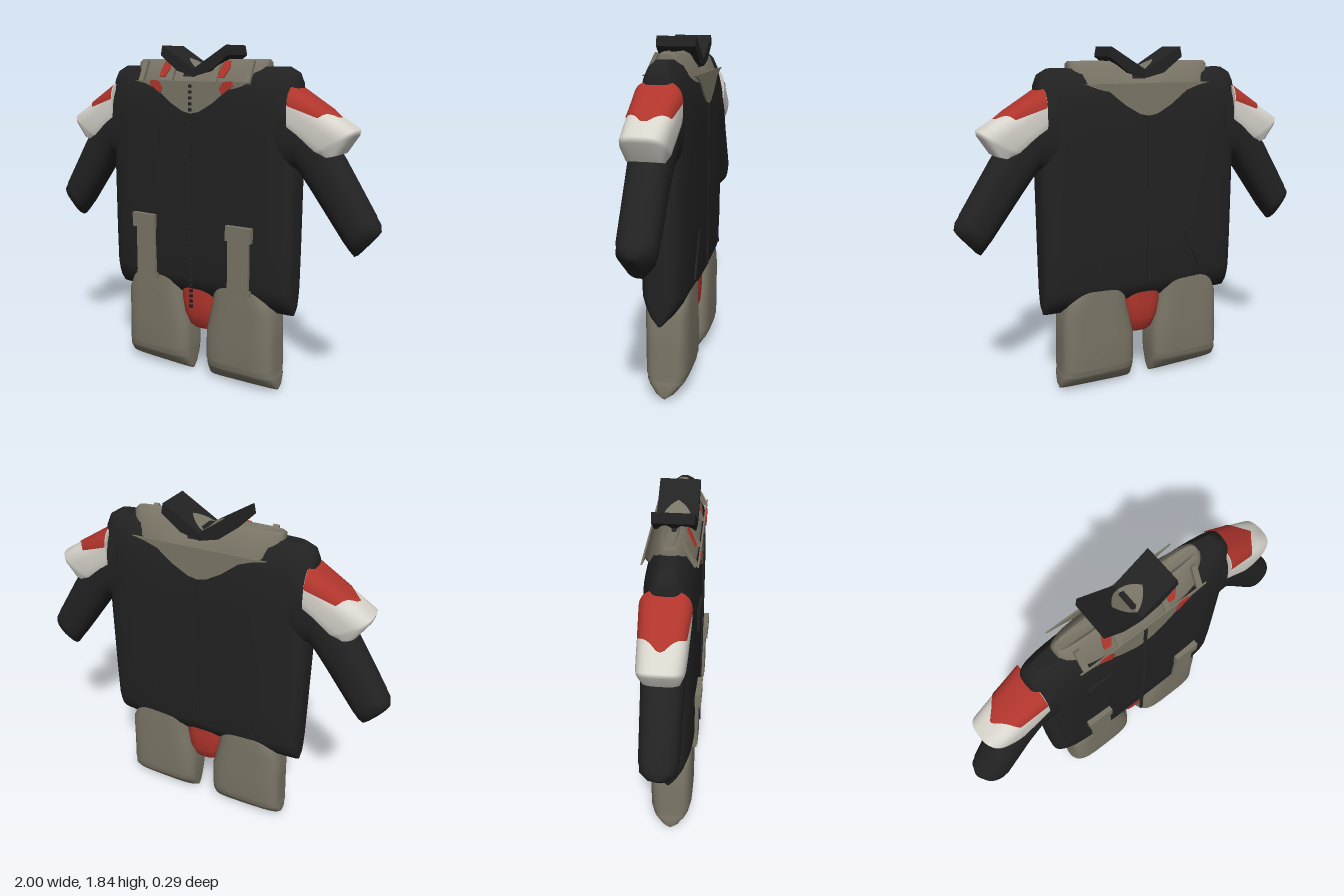
import * as THREE from 'three';
import { mergeGeometries } from 'three/addons/utils/BufferGeometryUtils.js';

const paint = (name, color) => {
  const m = new THREE.MeshStandardMaterial({ color });
  m.name = name;
  return m;
};
const ZC = -0.01; // depth centre of the garment

// Skin through sections [x1, y1, x2, y2, halfDepth]; p sets how square each section is.
// With arcs (half angles around the first point) only an open strip is made.
function loft(sections, p, arcs) {
  const n = 48, cols = n + 1, pos = [], idx = [];
  const sq = (v) => Math.sign(v) * Math.abs(v) ** (2 / p);
  const first = sections[0], last = sections[sections.length - 1];
  const mid = (s) => [(s[0] + s[2]) / 2, (s[1] + s[3]) / 2];
  const [ax, ay] = mid(first), [bx, by] = mid(last);
  const out = (by - ay) * (first[0] - first[2]) - (bx - ax) * (first[1] - first[3]) > 0;
  const tri = (a, b, c) => (out ? idx.push(a, b, c) : idx.push(a, c, b));
  sections.forEach((s, i) => {
    const [cx, cy] = mid(s), ux = (s[0] - s[2]) / 2, uy = (s[1] - s[3]) / 2;
    for (let j = 0; j < cols; j++) {
      const a = arcs ? arcs[i] * (2 * j / n - 1) : (j % n) * 2 * Math.PI / n;
      const c = sq(Math.cos(a));
      pos.push(cx + ux * c, cy + uy * c, ZC + s[4] * sq(Math.sin(a)));
    }
  });
  const wrap = (j) => (arcs ? j : j % n);
  for (let i = 0; i < sections.length - 1; i++)
    for (let j = 0; j < n; j++) {
      const a = i * cols + j, b = i * cols + wrap(j + 1);
      tri(a, a + cols, b);
      tri(b, a + cols, b + cols);
    }
  if (!arcs) {
    // end caps with their own vertices
    [0, sections.length - 1].forEach((i) => {
      const base = pos.length / 3, [cx, cy] = mid(sections[i]);
      pos.push(cx, cy, ZC);
      for (let j = 0; j < n; j++) pos.push(...pos.slice((i * cols + j) * 3, (i * cols + j) * 3 + 3));
      for (let j = 0; j < n; j++) {
        const a = base + 1 + j, b = base + 1 + (j + 1) % n;
        i ? tri(base, b, a) : tri(base, a, b);
      }
    });
  }
  const g = new THREE.BufferGeometry();
  g.setAttribute('position', new THREE.Float32BufferAttribute(pos, 3));
  g.setIndex(idx);
  g.computeVertexNormals();
  return g;
}

// Flat plate from a list of outline points
function plate(points, z, depth) {
  const shape = new THREE.Shape(points.map(([x, y]) => new THREE.Vector2(x, y)));
  return new THREE.ExtrudeGeometry(shape, { depth, bevelEnabled: false }).translate(0, 0, z);
}

export function createModel() {
  const model = new THREE.Group();
  model.name = 'outfit';
  const black = paint('black cloth', 0x222223);
  const olive = paint('olive cloth', 0x7a7566);
  const red = paint('red cloth', 0xb0352c);
  const white = paint('white armour', 0xd8d5cd);
  const add = (name, geo, mat, parent = model) => {
    const m = new THREE.Mesh(geo, mat);
    m.name = name;
    parent.add(m);
    return m;
  };
  const box = (name, mat, w, h, d, x, y, z, parent) => {
    const m = add(name, new THREE.BoxGeometry(w, h, d), mat, parent);
    m.position.set(x, y, z);
    return m;
  };
  const level = (rows) => rows.map(([y, hw, hd]) => [hw, y, -hw, y, hd]);

  // Jacket body, tapering to a keel at the hem and at the shoulders
  add('jacketBody', loft(level([
    [0.46, 0.565, 0.02], [0.5, 0.572, 0.07], [0.54, 0.572, 0.1], [0.6, 0.572, 0.123], [0.8, 0.572, 0.13],
    [1.4, 0.572, 0.13], [1.58, 0.572, 0.122], [1.66, 0.568, 0.1], [1.71, 0.55, 0.075], [1.74, 0.5, 0.045],
  ]), 4), black);

  // Yoke around the neck, dipping under the collar
  const yoke = loft(level([
    [1.6, 0.36, 0.112], [1.66, 0.4, 0.112], [1.76, 0.4, 0.062], [1.775, 0.39, 0.035],
  ]), 4);
  const yp = yoke.attributes.position;
  for (let i = 0; i < yp.count; i++)
    yp.setY(i, Math.min(yp.getY(i), 1.712 + 0.55 * Math.abs(yp.getX(i))));
  yoke.computeVertexNormals();
  add('yoke', yoke, olive);

  // Pointed bib of the yoke, front and back
  const half = [[0.36, 1.69], [0.29, 1.65], [0.22, 1.625], [0.13, 1.555], [0.05, 1.51]];
  const bib = [...half, [0, 1.5], ...half.map(([x, y]) => [-x, y]).reverse()]
    .map(([x, y]) => [x, Math.min(y, 1.665)]);
  add('frontBib', plate(bib, 0.112, 0.008), olive);
  add('backBib', plate(bib, -0.142, 0.008), olive);

  // Folded collar with its neck opening
  const rim = [[0.195, 1.845], [0, 1.727], [-0.195, 1.845]];
  const under = [[-0.205, 1.795], [-0.1, 1.715], [0, 1.69], [0.1, 1.715], [0.205, 1.795]];
  add('collar', plate([...rim, ...under], -0.11, 0.2), black);
  for (const s of [1, -1]) {
    const lens = new THREE.Shape();
    lens.moveTo(0, -0.07);
    lens.quadraticCurveTo(s * 0.05, -0.06, s * 0.085, 0);
    lens.quadraticCurveTo(s * 0.05, 0.06, 0, 0.07);
    const g = new THREE.ShapeGeometry(lens);
    const p = g.attributes.position;
    for (let i = 0; i < p.count; i++) {
      const x = p.getX(i), z = p.getY(i);
      p.setXYZ(i, x, 1.731 + 0.605 * Math.abs(x), ZC - z);
    }
    g.computeVertexNormals();
    add('neckOpening', g, olive);
  }

  // Zip teeth
  const teeth = [];
  for (let y = 0.44; y < 1.66; y += 0.03)
    teeth.push(new THREE.BoxGeometry(0.018, 0.016, 0.012).translate(0, y, 0.121));
  add('zip', mergeGeometries(teeth), black);

  // Chest pocket and back seam
  box('chestPocket', black, 0.145, 0.11, 0.02, -0.272, 1.365, 0.12);
  box('backSeam', black, 0.012, 0.9, 0.008, 0, 1.05, -0.14);

  // Briefs between the legs
  add('briefs', loft(level([
    [0.275, 0.05, 0.03], [0.3, 0.068, 0.06], [0.37, 0.098, 0.085], [0.46, 0.113, 0.092], [0.58, 0.116, 0.092],
  ]), 3), red);

  for (const s of [1, -1]) {
    const side = new THREE.Group();
    side.name = s > 0 ? 'leftSide' : 'rightSide';
    model.add(side);
    const flip = (rows) => rows.map(([a, b, c, d, e]) => [s * a, b, s * c, d, e]);

    // Trouser leg with a keeled cuff
    add('leg', loft(flip([
      [0.485, 0.015, 0.065, 0.003, 0.015], [0.492, 0.04, 0.062, 0.03, 0.06], [0.49, 0.085, 0.06, 0.085, 0.098],
      [0.486, 0.105, 0.06, 0.105, 0.108], [0.483, 0.12, 0.06, 0.12, 0.106], [0.484, 0.14, 0.058, 0.14, 0.116],
      [0.478, 0.3, 0.06, 0.3, 0.117], [0.474, 0.46, 0.1, 0.46, 0.117], [0.44, 0.54, 0.11, 0.54, 0.117],
      [0.4, 0.6, 0.12, 0.6, 0.114],
    ]), 4), olive, side);

    // Sleeve
    add('sleeve', loft(flip([
      [0.48, 1.71, 0.48, 1.2, 0.112], [0.6, 1.585, 0.575, 1.24, 0.108], [0.8, 1.31, 0.65, 1.14, 0.097],
      [0.965, 1.05, 0.825, 0.905, 0.092], [0.972, 1.035, 0.838, 0.89, 0.087], [0.99, 1.01, 0.855, 0.868, 0.084],
      [1.0, 0.975, 0.878, 0.835, 0.045], [0.985, 0.95, 0.895, 0.845, 0.015],
    ]), 2.4), black, side);

    // Shoulder plate with a red upper panel
    const pad = [
      [0.54, 1.65, 0.54, 1.4, 0.116], [0.72, 1.538, 0.575, 1.37, 0.112], [0.78, 1.502, 0.6, 1.35, 0.11],
      [0.862, 1.452, 0.635, 1.32, 0.106], [0.858, 1.425, 0.665, 1.315, 0.102], [0.8, 1.335, 0.7, 1.31, 0.085],
    ];
    add('shoulderPlate', loft(flip(pad), 3), white, side);
    const panel = pad.slice(0, 3).map(([a, b, c, d, e]) => [a + 0.003, b + 0.004, c, d, e + 0.003]);
    add('shoulderPanel', loft(flip(panel), 3, [1.45, 1.09, 0.01]), red, side);

    // Strapped pouch at the hem
    box('pouchStrap', olive, 0.125, 0.29, 0.018, s * 0.298, 0.715, 0.122, side);
    box('pouchFlap', olive, 0.148, 0.08, 0.04, s * 0.303, 0.895, 0.125, side);
    box('pouchBase', olive, 0.14, 0.03, 0.024, s * 0.298, 0.575, 0.115, side);

    // Yoke loops and red flashes, laid on the sloping front
    const tilt = -Math.atan(0.5);
    for (const x of [0.135, 0.325])
      box('yokeLoop', olive, 0.03, 0.125, 0.018, s * x, 1.712, 0.078, side).rotation.x = tilt;
    const flash = plate([[-0.03, -0.04], [0.005, -0.045], [0.028, 0.01], [0.022, 0.05], [-0.015, 0.045], [-0.025, 0]], 0, 0.006);
    const upper = add('upperFlash', flash, red, side);
    upper.position.set(s * 0.182, 1.722, 0.073);
    upper.rotation.x = tilt;
    add('lowerFlash', plate([
      [s * 0.255, 1.645], [s * 0.19, 1.6], [s * 0.175, 1.63], [s * 0.2, 1.665], [s * 0.25, 1.668],
    ], 0.118, 0.006), red, side).material = red;

    // Slanted pocket slit on the back
    box('backSlit', black, 0.012, 0.26, 0.01, s * 0.275, 0.75, -0.14, side).rotation.z = s * 0.43;
  }
  return model;
}
